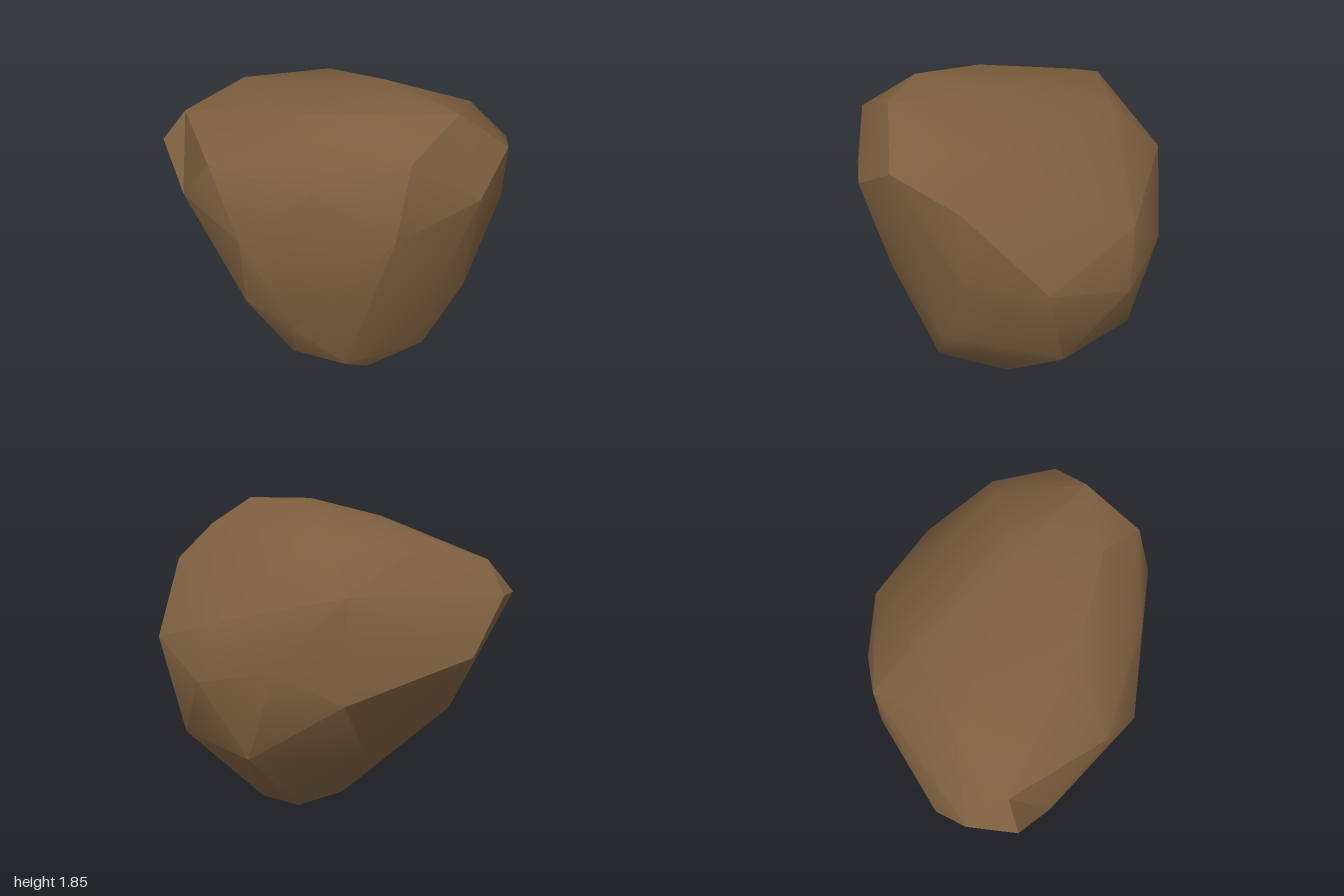
import * as THREE from 'three';
import { ConvexGeometry } from 'three/addons/geometries/ConvexGeometry.js';
import { toCreasedNormals } from 'three/addons/utils/BufferGeometryUtils.js';

// Corners of the boulder, grouped by region: [x, y, z]
const crown = [
  [0.58, 1.85, 0.54], [0.18, 1.845, 0.51], [0.28, 1.835, 0.08], [0.75, 1.70, 0.09],
  [0.87, 1.62, 0.47], [-0.27, 1.74, 0.25], [0.02, 1.64, -0.55], [-0.50, 1.645, -0.44],
];
const frontSide = [
  [0.32, 1.71, 0.77], [0.25, 1.33, 0.865], [0.69, 1.45, 0.70], [-0.15, 1.50, 0.66],
  [-0.68, 1.475, 0.30], [-0.53, 1.14, 0.55], [-0.26, 0.63, 0.68], [0.03, 0.32, 0.67],
  [0.56, 0.85, 0.62],
];
const flanks = [
  [0.97, 1.49, 0.12], [0.995, 1.10, 0.12], [1, 1.08, -0.31], [0.79, 0.56, 0.28],
  [0.85, 0.54, -0.38], [-0.53, 0.62, 0.42],
];
const backSide = [
  [0.70, 0.92, -0.70], [0.57, 1.24, -0.70], [0.29, 1.0, -0.85], [-0.07, 0.84, -0.865],
  [-0.08, 1.38, -0.82], [0.44, 0.50, -0.72], [-0.20, 0.42, -0.52],
];
const foot = [
  [0.20, 0.01, 0.40], [0.54, 0.19, 0.39], [0.47, 0.04, -0.02], [0.43, 0.11, -0.29],
  [0.22, 0.035, -0.26], [-0.04, 0, 0.03], [-0.27, 0.18, 0.40],
];
// Corners shared by the boulder and the spur on its right side
const shoulder = [
  [-0.85, 1.52, -0.27], [-0.89, 1.08, -0.05], [-0.90, 1.35, -0.51],
  [-0.73, 1.05, -0.66], [-0.66, 0.67, -0.29],
];
const spurTip = [-1, 1.34, -0.26];

export function createModel() {
  const group = new THREE.Group();
  group.name = 'rock';

  const stone = new THREE.MeshStandardMaterial({ color: 0x7d5f3f });
  stone.name = 'brown stone';

  // Hull through the corners: gentle angles stay smooth, sharp ridges stay crisp
  const addHull = (name, corners) => {
    const hull = new ConvexGeometry(corners.map((p) => new THREE.Vector3(...p)));
    const mesh = new THREE.Mesh(toCreasedNormals(hull, 0.6), stone);
    mesh.name = name;
    group.add(mesh);
  };

  addHull('boulder', [...crown, ...frontSide, ...flanks, ...backSide, ...foot, ...shoulder]);
  // The spur leaves a shallow notch where it meets the front
  addHull('spur', [...shoulder, spurTip]);

  return group;
}
